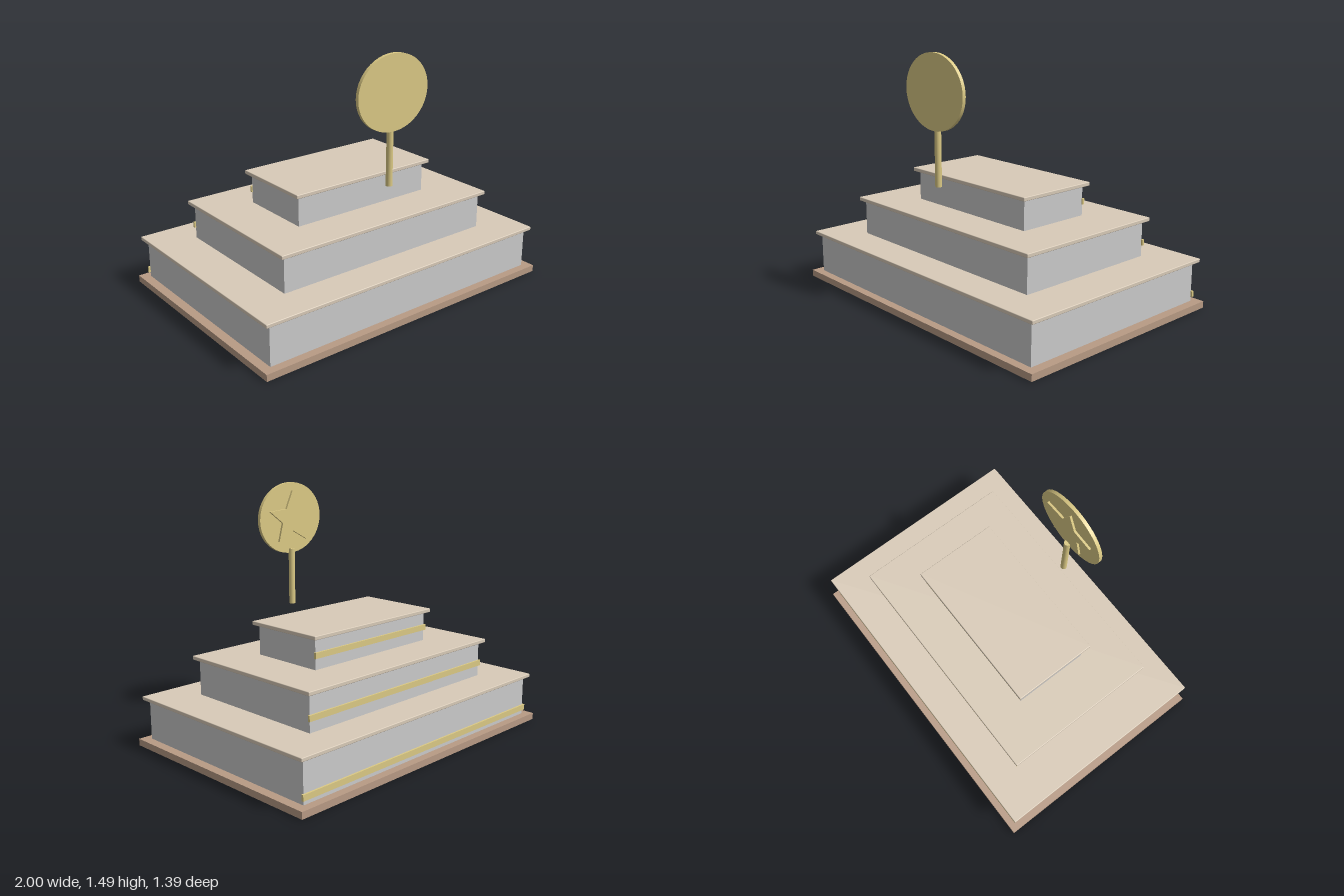
import * as THREE from 'three';
import { RoundedBoxGeometry } from 'three/addons/geometries/RoundedBoxGeometry.js';

const material = (color) => new THREE.MeshStandardMaterial({ color });

export function createModel() {
  const model = new THREE.Group();
  const wall = material(0xcccccc);
  const stone = material(0xd9cbb8);
  const brown = material(0xb89b85);
  const gold = material(0xdcca85);

  const add = (name, geometry, mat, x, y, z) => {
    const mesh = new THREE.Mesh(geometry, mat);
    mesh.name = name;
    mesh.position.set(x, y, z);
    model.add(mesh);
    return mesh;
  };
  // Box given by half width, half depth, bottom and top
  const block = (name, hx, hz, y0, y1, mat, z = 0) =>
    add(name, new THREE.BoxGeometry(2 * hx, y1 - y0, 2 * hz), mat, 0, (y0 + y1) / 2, z);

  // Ground plinth
  block('plinth', 1, 0.697, 0, 0.04, brown);

  // Three stepped tiers: wall block, overhanging slab, trim strip on the back
  const tiers = [
    { hx: 0.945, hz: 0.648, y0: 0.04, y1: 0.278, sx: 0.978, sz: 0.674, top: 0.3, band: 0.083, bx: 0.956 },
    { hx: 0.72, hz: 0.459, y0: 0.3, y1: 0.511, sx: 0.75, sz: 0.487, top: 0.534, band: 0.383, bx: 0.73 },
    { hx: 0.459, hz: 0.231, y0: 0.534, y1: 0.71, sx: 0.488, sz: 0.26, top: 0.733, band: 0.617, bx: 0.466 },
  ];
  tiers.forEach((t, i) => {
    const n = i + 1;
    block(`tierWall${n}`, t.hx, t.hz, t.y0, t.y1, wall);
    const h = t.top - t.y1;
    add(`tierSlab${n}`, new RoundedBoxGeometry(2 * t.sx, h, 2 * t.sz, 2, 0.004), stone, 0, t.y1 + h / 2, 0);
    block(`trimStrip${n}`, t.bx, 0.007, t.band - 0.017, t.band + 0.017, gold, -t.hz - 0.004);
  });

  // Sign post
  add('post', new THREE.CylinderGeometry(0.019, 0.019, 0.345, 16), gold, 0, 0.9075, 0.453);

  // Oval disc facing the front
  const discGeometry = new THREE.CylinderGeometry(1, 1, 1, 48).rotateX(Math.PI / 2);
  add('disc', discGeometry, gold, 0, 1.269, 0.4675).scale.set(0.246, 0.216, 0.021);

  // Five-pointed star behind the disc
  const points = Array.from({ length: 10 }, (_, i) => {
    const r = i % 2 ? 0.075 : 0.168;
    const a = Math.PI / 2 + (i * Math.PI) / 5;
    return new THREE.Vector2(1.13 * r * Math.cos(a), r * Math.sin(a));
  });
  const star = new THREE.ExtrudeGeometry(new THREE.Shape(points), { depth: 0.013, bevelEnabled: false });
  add('star', star, gold, 0, 1.267, 0.438);

  return model;
}
